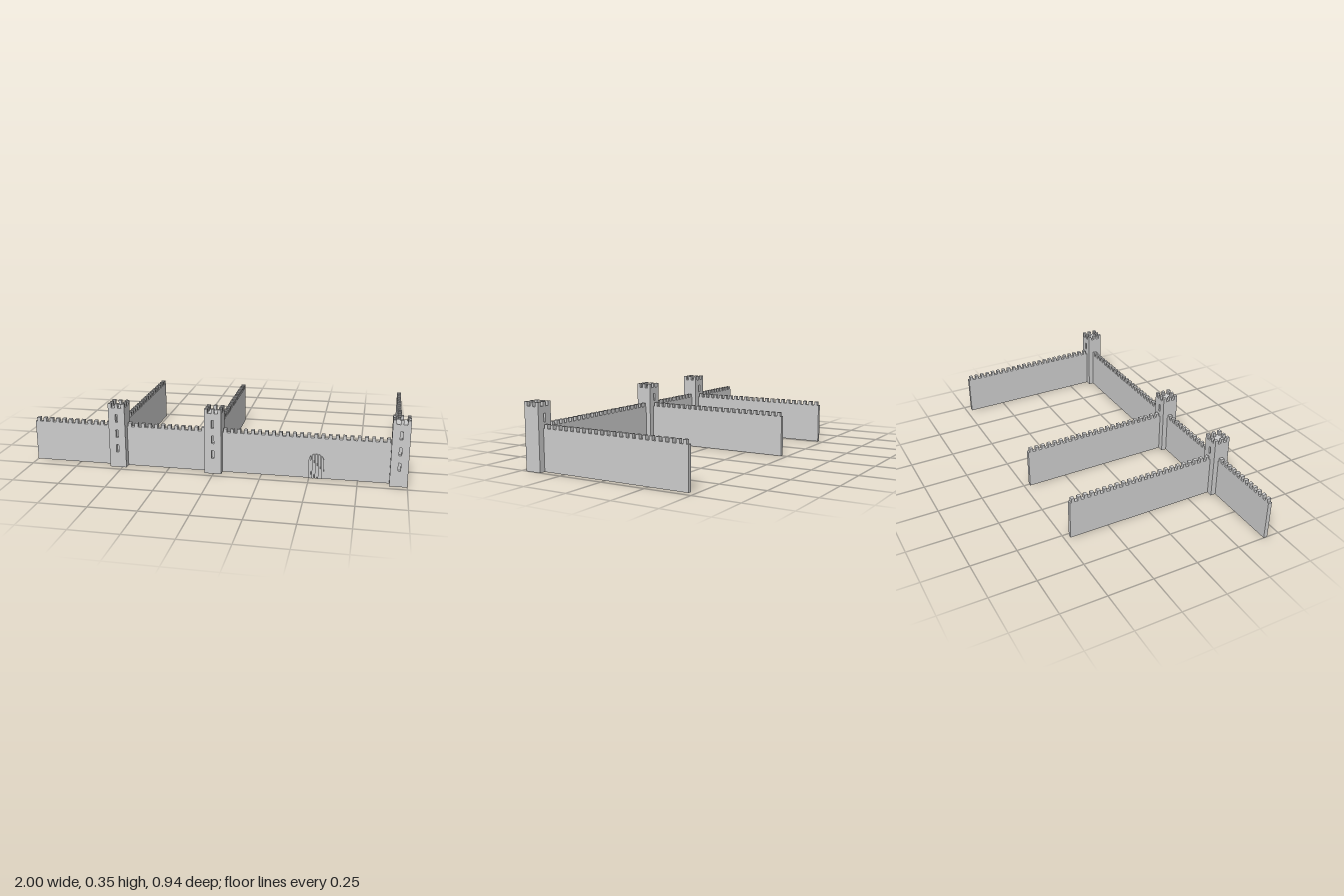
import * as THREE from 'three';

const stone = new THREE.MeshStandardMaterial({ color: 0xcccccc, flatShading: true });
const PITCH = 0.0362, MERLON = 0.018, WALL_H = 0.219, THICK = 0.022;
const TOWER_W = 0.09, TOWER_H = 0.33, TOWER_Z = 0.423, WALL_Z = 0.418;

function add(parent, name, geometry, x = 0, y = 0, z = 0) {
  const mesh = new THREE.Mesh(geometry, stone);
  mesh.name = name;
  mesh.position.set(x, y, z);
  parent.add(mesh);
  return mesh;
}

// Battlemented wall running along local x: one extruded outline
function makeWall(name, length) {
  const s = new THREE.Shape();
  const n = Math.round(length / PITCH - 0.3);
  const start = -length / 2, pitch = length / n;
  s.moveTo(start, 0);
  s.lineTo(start, WALL_H);
  for (let i = 0; i < n; i++) {
    const c = start + (i + 0.5) * pitch;
    s.lineTo(c - MERLON / 2, WALL_H);
    s.lineTo(c - MERLON / 2, WALL_H + 0.021);
    s.lineTo(c + MERLON / 2, WALL_H + 0.021);
    s.lineTo(c + MERLON / 2, WALL_H);
  }
  s.lineTo(-start, WALL_H);
  s.lineTo(-start, 0);
  const g = new THREE.ExtrudeGeometry(s, { depth: THICK, bevelEnabled: false });
  g.translate(0, 0, -THICK / 2);
  const wall = new THREE.Group();
  wall.name = name;
  add(wall, 'battlementedWall', g);
  return wall;
}

// Tower face with arrow slits cut at the given heights
function slitFace(depth, heights) {
  const h = TOWER_W / 2, w = 0.0065;
  const s = new THREE.Shape();
  s.moveTo(-h, 0).lineTo(h, 0).lineTo(h, TOWER_H).lineTo(-h, TOWER_H).closePath();
  for (const y of heights) {
    const hole = new THREE.Path();
    hole.moveTo(-w, y).lineTo(-w, y + 0.043).lineTo(w, y + 0.043).lineTo(w, y).closePath();
    s.holes.push(hole);
  }
  return new THREE.ExtrudeGeometry(s, { depth, bevelEnabled: false });
}

function makeTower(x) {
  const tower = new THREE.Group();
  tower.name = 'tower';
  const h = TOWER_W / 2, skin = 0.018;
  add(tower, 'frontFace', slitFace(skin, [0.085, 0.167, 0.251]), 0, 0, h - skin);
  add(tower, 'backFace', slitFace(skin, [0.251]), 0, 0, -h);
  add(tower, 'core', new THREE.BoxGeometry(TOWER_W, TOWER_H, TOWER_W - 2 * skin), 0, TOWER_H / 2, 0);
  // Merlons at the corners and the middle of each side
  const size = 0.018, mh = 0.023;
  for (let i = -1; i <= 1; i++) {
    for (let j = -1; j <= 1; j++) {
      if (!i && !j) continue;
      const dx = i ? size : 0.016, dz = j ? size : 0.016;
      add(tower, 'merlon', new THREE.BoxGeometry(dx, mh, dz),
        i * (h - size / 2), TOWER_H + mh / 2, j * (h - size / 2));
    }
  }
  tower.position.set(x, 0, TOWER_Z);
  return tower;
}

// Arched gate of upright planks
function makeGate(x) {
  const gate = new THREE.Group();
  gate.name = 'gate';
  const half = 0.04, spring = 0.098, rise = 0.036, count = 5, gap = 0.005;
  const top = (u) => spring + rise * Math.sqrt(Math.max(0, 1 - (u / half) ** 2));
  const pitch = 2 * half / count;
  for (let i = 0; i < count; i++) {
    const a = -half + i * pitch + (i ? gap / 2 : 0);
    const b = -half + (i + 1) * pitch - (i < count - 1 ? gap / 2 : 0);
    const s = new THREE.Shape();
    s.moveTo(a, 0);
    s.lineTo(b, 0);
    for (let k = 0; k <= 4; k++) {
      const u = b + (a - b) * k / 4;
      s.lineTo(u, top(u));
    }
    s.closePath();
    add(gate, 'plank', new THREE.ExtrudeGeometry(s, { depth: 0.009, bevelEnabled: false }));
  }
  gate.position.set(x, 0, WALL_Z + THICK / 2 - 0.002);
  return gate;
}

export function createModel() {
  const model = new THREE.Group();
  model.name = 'castleWalls';
  const towers = [-0.523, -0.003, 0.955];
  const h = TOWER_W / 2, overlap = 0.004;

  // Front wall sections, from the open end to the last tower
  let from = -1;
  for (const x of towers) {
    const to = x - h + overlap;
    const wall = makeWall('frontWall', to - from);
    wall.position.set((from + to) / 2, 0, WALL_Z);
    model.add(wall);
    from = x + h - overlap;
  }

  // Towers, each with a wall running back from it
  const zBack = -0.467, zFront = TOWER_Z - h + overlap / 4;
  for (const x of towers) {
    model.add(makeTower(x));
    const wall = makeWall('sideWall', zFront - zBack);
    wall.rotation.y = Math.PI / 2;
    wall.position.set(x, 0, (zBack + zFront) / 2);
    model.add(wall);
  }

  model.add(makeGate(0.536));
  return model;
}
